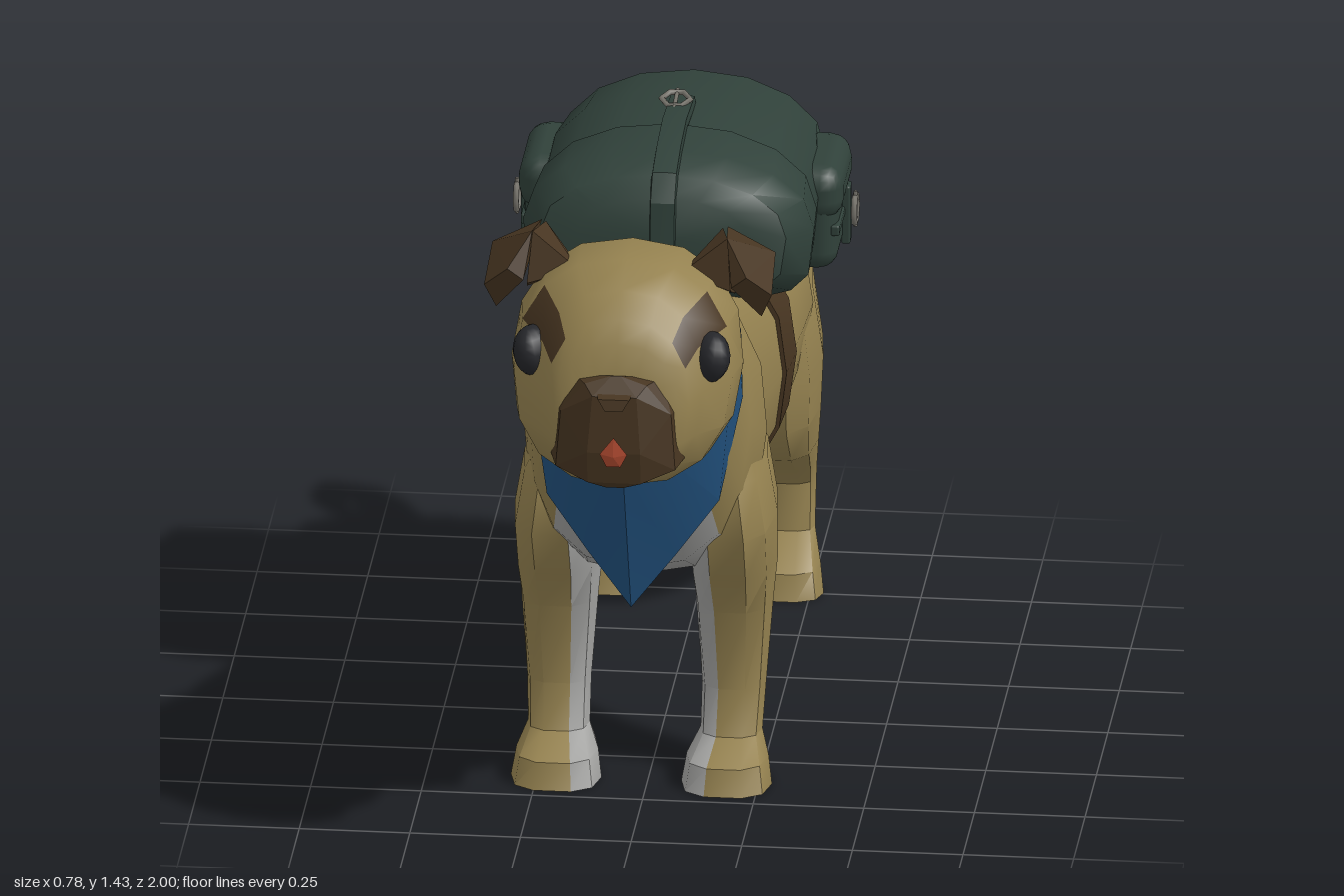
import * as THREE from 'three';
import { toCreasedNormals } from 'three/addons/utils/BufferGeometryUtils.js';
import { RoundedBoxGeometry } from 'three/addons/geometries/RoundedBoxGeometry.js';
import { ConvexGeometry } from 'three/addons/geometries/ConvexGeometry.js';

const material = (name, color, side = THREE.FrontSide) => {
  const m = new THREE.MeshStandardMaterial({ color, side });
  m.name = name;
  return m;
};

// Rounded loop; power below 1 makes it boxier
const soft = (v, power) => Math.sign(v) * Math.abs(v) ** power;

// Loop across the body: top point, bottom point and half width
function spineRing([zt, yt, zb, yb, hw], n = 16, power = 0.85, lowPower = power) {
  return Array.from({ length: n }, (_, j) => {
    const a = (j / n) * Math.PI * 2, p = Math.cos(a) > 0 ? lowPower : power;
    const c = soft(Math.cos(a), p), s = soft(Math.sin(a), p);
    return [hw * s, (yt + yb) / 2 - c * (yt - yb) / 2, (zt + zb) / 2 - c * (zt - zb) / 2];
  });
}

// Level loop around a leg: height, front, back, inner and outer edge
function legRing([y, zf, zb, xi, xo], side, n = 10) {
  return Array.from({ length: n }, (_, j) => {
    const a = ((j + 0.5) / n) * Math.PI * 2;
    return [side * (xi + xo) / 2 - soft(Math.sin(a), 0.75) * (xo - xi) / 2, y,
      (zf + zb) / 2 + soft(Math.cos(a), 0.75) * (zf - zb) / 2];
  });
}

// Skin a row of loops; paint(row, face) picks the material, row -1 and last are caps
function loft(name, rings, mats, paint = () => 0, crease = 0.7) {
  const n = rings[0].length, last = rings.length - 1;
  const pos = rings.flat(2), faces = mats.map(() => []);
  for (let i = 0; i < last; i++) {
    for (let j = 0; j < n; j++) {
      const k = (j + 1) % n, a = i * n, b = a + n;
      faces[paint(i, j)].push(a + j, a + k, b + k, a + j, b + k, b + j);
    }
  }
  [[0, -1], [last, last]].forEach(([r, row], end) => {
    const centre = pos.length / 3;
    for (let c = 0; c < 3; c++) pos.push(rings[r].reduce((t, p) => t + p[c] / n, 0));
    for (let j = 0; j < n; j++) {
      const a = r * n + j, b = r * n + (j + 1) % n;
      faces[paint(row, j)].push(centre, ...(end ? [a, b] : [b, a]));
    }
  });
  const g = new THREE.BufferGeometry();
  g.setAttribute('position', new THREE.Float32BufferAttribute(pos, 3));
  g.setIndex(faces.flat());
  let start = 0;
  faces.forEach((f, m) => { g.addGroup(start, f.length, m); start += f.length; });
  const mesh = new THREE.Mesh(toCreasedNormals(g, crease), mats);
  mesh.name = name;
  return mesh;
}

function hull(name, points, mat) {
  const mesh = new THREE.Mesh(new ConvexGeometry(points.map(p => new THREE.Vector3(...p))), mat);
  mesh.name = name;
  return mesh;
}

const mirrorX = (pts, side) => pts.map(([x, y, z]) => [side * x, y, z]);
const bothSides = pts => [...pts, ...mirrorX(pts, -1)];

export function createModel() {
  const fawn = material('fawn coat', 0x958250), pale = material('pale coat', 0xa2a2a0);
  const brown = material('dark brown', 0x473521), black = material('eye black', 0x25262a);
  const blue = material('blue cloth', 0x22527f, THREE.DoubleSide), red = material('tongue red', 0xb04a30);
  const green = material('pack green', 0x30413a), metal = material('buckle metal', 0x77746c);

  const model = new THREE.Group();
  const dog = new THREE.Group(), pack = new THREE.Group();
  dog.name = 'dog';
  dog.position.x = -0.015;
  pack.name = 'backpack';
  model.add(dog, pack);

  // Trunk, neck and head in one skin, rump to face
  const spine = [
    [-0.87, 0.90, -0.915, 0.60, 0.165], [-0.80, 0.96, -0.78, 0.54, 0.255],
    [-0.65, 1.00, -0.60, 0.52, 0.285], [-0.50, 1.01, -0.50, 0.48, 0.275],
    [-0.37, 1.025, -0.37, 0.46, 0.265], [-0.24, 1.035, -0.25, 0.445, 0.255],
    [0.05, 1.095, 0.08, 0.47, 0.235], [0.20, 1.15, 0.38, 0.50, 0.275],
    [0.29, 1.20, 0.52, 0.57, 0.25], [0.37, 1.25, 0.66, 0.80, 0.21],
    [0.45, 1.335, 0.72, 0.91, 0.22], [0.56, 1.39, 0.80, 0.905, 0.262],
    [0.70, 1.395, 0.86, 0.91, 0.247], [0.81, 1.365, 0.915, 0.93, 0.188],
    [0.865, 1.315, 0.935, 0.94, 0.162], [0.90, 1.27, 0.945, 0.95, 0.14], [0.92, 1.20, 0.955, 0.97, 0.10],
  ];
  dog.add(loft('body', spine.map(s => spineRing(s)), [fawn, pale, brown], (i, j) => {
    const k = Math.min(j, 15 - j);
    const paleReach = [3, 2, 2, 2, 2, 2, 2, 1, 1][i] ?? -1;   // belly and chest
    if (i === -1 || k <= paleReach) return 1;
    return (i === 12 || i === 13) && k === 5 ? 2 : 0;         // eye patches
  }));

  // Girth strap
  dog.add(loft('girthStrap', [4, 5].map(i => {
    const [zt, yt, zb, yb, hw] = spine[i];
    return spineRing([zt, yt + 0.012, zb, yb - 0.008, hw + 0.009]);
  }), [brown]));

  // Muzzle, nose and tongue
  dog.add(hull('muzzle', bothSides([
    [0.10, 1.19, 0.89], [0.01, 1.205, 0.93], [0.07, 1.19, 0.945], [0.05, 1.17, 0.972], [0.145, 1.12, 0.87],
    [0.125, 1.12, 0.94], [0.155, 1.0, 0.88], [0.135, 0.99, 0.95], [0.06, 1.04, 0.988], [0.06, 0.965, 0.98],
    [0.09, 0.96, 0.90], [0.02, 0.95, 0.97],
  ]), brown));
  dog.add(hull('nose', bothSides([[0.04, 1.178, 0.95], [0.036, 1.17, 0.988], [0.02, 1.145, 0.995], [0.01, 1.135, 0.97]]), brown));
  dog.add(hull('tongue', [[0, 1.08, 0.993], ...bothSides([[0.031, 1.04, 0.994], [0.016, 1.01, 0.994]]),
    [0, 1.035, 1.0], [0, 1.03, 0.97]], red));

  // Curled tail, outer and inner edge of the curl
  dog.add(loft('tail', [
    [-0.88, 0.86, -0.80, 0.93, 0.055], [-0.95, 0.92, -0.87, 0.97, 0.05], [-1.0, 1.0, -0.925, 1.02, 0.047],
    [-0.99, 1.095, -0.935, 1.06, 0.043], [-0.92, 1.125, -0.91, 1.08, 0.04], [-0.85, 1.11, -0.865, 1.065, 0.035],
    [-0.81, 1.05, -0.85, 1.04, 0.03], [-0.81, 0.995, -0.84, 0.99, 0.02],
  ].map(s => spineRing(s, 8)), [fawn]));

  // Legs: pale on the inner side, the sole and the back of the lower foreleg
  const frontLeg = [
    [0.92, 0.36, 0.18, 0.08, 0.19], [0.75, 0.465, 0.08, 0.10, 0.275], [0.62, 0.475, 0.07, 0.10, 0.297],
    [0.50, 0.41, 0.09, 0.10, 0.295], [0.40, 0.355, 0.14, 0.11, 0.285], [0.20, 0.32, 0.20, 0.125, 0.27],
    [0.10, 0.36, 0.225, 0.125, 0.265], [0.06, 0.455, 0.25, 0.10, 0.285], [0, 0.475, 0.28, 0.09, 0.295],
  ];
  const hindLeg = [
    [0.90, -0.54, -0.74, 0.08, 0.20], [0.78, -0.48, -0.85, 0.10, 0.28], [0.60, -0.49, -0.91, 0.08, 0.30],
    [0.48, -0.51, -0.885, 0.09, 0.295], [0.38, -0.60, -0.885, 0.12, 0.285], [0.28, -0.78, -0.93, 0.135, 0.27],
    [0.23, -0.83, -0.95, 0.14, 0.265], [0.12, -0.82, -0.90, 0.14, 0.265], [0.06, -0.705, -0.87, 0.11, 0.285],
    [0, -0.69, -0.82, 0.10, 0.295],
  ];
  for (const side of [1, -1]) {
    const label = side > 0 ? 'left' : 'right';
    for (const [name, sections] of [['FrontLeg', frontLeg], ['HindLeg', hindLeg]]) {
      dog.add(loft(label + name, sections.map(s => legRing(s, side)), [fawn, pale], (i, j) => {
        const a = ((j + 1) / 10) * Math.PI * 2;
        const sole = i === sections.length - 1;
        const inner = side * Math.sin(a) > 0.5 && (i >= 2 || Math.cos(a) < 0.5);
        const foreBack = sections === frontLeg && i >= 3 && Math.cos(a) < -0.7;
        return sole || inner || foreBack ? 1 : 0;
      }));
    }

    // Folded ear: upright base and hanging flap
    dog.add(hull(label + 'EarBase', mirrorX([[0.115, 1.34, 0.64], [0.22, 1.425, 0.63], [0.20, 1.41, 0.53],
      [0.235, 1.28, 0.60], [0.14, 1.33, 0.54], [0.23, 1.31, 0.66]], side), brown));
    dog.add(hull(label + 'EarFlap', mirrorX([[0.22, 1.43, 0.64], [0.21, 1.41, 0.52], [0.32, 1.36, 0.54],
      [0.325, 1.31, 0.675], [0.30, 1.25, 0.655], [0.235, 1.33, 0.69], [0.27, 1.36, 0.70], [0.27, 1.325, 0.535]], side), brown));

    const eye = new THREE.Mesh(new THREE.SphereGeometry(0.058, 14, 10), black);
    eye.name = label + 'Eye';
    eye.position.set(side * 0.2, 1.208, 0.803);
    eye.rotation.set(0, side * 0.35, side * -0.2);
    eye.scale.x = 0.75;
    dog.add(eye);
  }

  // Neckerchief: upper hem, lower hem and turned-in edge, from the front fold round to the nape
  const hems = [
    [[0, 0.89, 0.775], [0.10, 0.925, 0.735], [0.22, 0.985, 0.60], [0.235, 1.08, 0.50],
      [0.20, 1.19, 0.41], [0.11, 1.25, 0.375], [0, 1.262, 0.365]],
    [[0, 0.51, 0.605], [0.10, 0.635, 0.585], [0.195, 0.76, 0.56], [0.237, 0.97, 0.455],
      [0.225, 1.10, 0.375], [0.13, 1.205, 0.325], [0, 1.228, 0.31]],
    [[0, 0.505, 0.525], [0.10, 0.625, 0.53], [0.19, 0.75, 0.53], [0.225, 0.97, 0.455],
      [0.20, 1.09, 0.375], [0.12, 1.19, 0.325], [0, 1.21, 0.31]],
  ];
  const scarf = new THREE.Group();
  scarf.name = 'neckerchief';
  for (const side of [1, -1]) {
    const n = hems[0].length, index = [];
    for (let r = 0; r < 2; r++) {
      for (let i = r * n; i < r * n + n - 1; i++) {
        const [a, b, c, d] = side > 0 ? [i, i + n, i + n + 1, i + 1] : [i, i + 1, i + n + 1, i + n];
        index.push(a, b, c, a, c, d);
      }
    }
    const g = new THREE.BufferGeometry();
    g.setAttribute('position', new THREE.Float32BufferAttribute(mirrorX(hems.flat(), side).flat(), 3));
    g.setIndex(index);
    const half = new THREE.Mesh(toCreasedNormals(g, 0.6), blue);
    half.name = side > 0 ? 'leftScarfHalf' : 'rightScarfHalf';
    scarf.add(half);
  }
  dog.add(scarf);

  // Backpack bag, rounded above and square below, with a flap over its front end
  const bag = [
    [-0.65, 1.25, -0.64, 1.0, 0.26], [-0.635, 1.31, -0.61, 0.935, 0.30], [-0.45, 1.335, -0.45, 0.94, 0.318],
    [-0.20, 1.35, -0.25, 0.955, 0.312], [-0.08, 1.335, -0.07, 0.99, 0.322], [0.01, 1.31, 0.07, 1.06, 0.27],
    [0.05, 1.27, 0.075, 1.09, 0.19],
  ];
  pack.add(loft('bag', bag.map(s => spineRing(s, 16, 0.95, 0.5)), [green]));
  pack.add(loft('bagFlap', bag.slice(3).map(([zt, yt, zb, yb, hw]) =>
    spineRing([zt, yt + 0.007, zb + 0.005, yb, hw + 0.007], 16, 0.95, 0.5)), [green]));

  // Strap over the top
  pack.add(loft('topStrap', [[-0.38, 1.345], [-0.2, 1.362], [-0.08, 1.348], [0.02, 1.32], [0.065, 1.27], [0.085, 1.12]]
    .map(([z, y], i) => spineRing(i < 4 ? [z, y + 0.008, z, y - 0.03, 0.03] : [z, y, z - 0.03, y - 0.01, 0.03], 8, 0.3)),
  [green], undefined, 0.4));

  // Hexagonal buckle with a pin, facing +z before turning
  const buckle = name => {
    const g = new THREE.Group();
    g.name = name;
    const pin = new THREE.Mesh(new THREE.CylinderGeometry(0.005, 0.005, 0.085, 5), metal);
    pin.name = 'pin';
    const frame = new THREE.Mesh(new THREE.TorusGeometry(0.033, 0.007, 5, 6), metal);
    frame.name = 'frame';
    g.add(frame, pin);
    return g;
  };
  const topBuckle = buckle('topBuckle');
  topBuckle.position.set(-0.01, 1.363, -0.33);
  topBuckle.rotation.x = -Math.PI / 2 + 0.15;
  pack.add(topBuckle);

  // Side pockets with lid, strap and buckle
  for (const side of [1, -1]) {
    const pocket = new THREE.Group();
    pocket.name = side > 0 ? 'leftPocket' : 'rightPocket';
    const box = (name, w, h, d, r, x, y, z) => {
      const mesh = new THREE.Mesh(new RoundedBoxGeometry(w, h, d, 2, r), green);
      mesh.name = name;
      mesh.position.set(side * x, y, z);
      pocket.add(mesh);
    };
    box('pouch', 0.12, 0.24, 0.26, 0.045, 0.295, 1.08, -0.44);
    box('lid', 0.13, 0.13, 0.275, 0.05, 0.302, 1.145, -0.44);
    box('strap', 0.02, 0.14, 0.04, 0.005, 0.362, 1.05, -0.46);
    box('crossStrap', 0.02, 0.025, 0.24, 0.005, 0.35, 1.06, -0.44);
    const b = buckle('pocketBuckle');
    b.position.set(side * 0.382, 1.06, -0.46);
    b.rotation.y = side * Math.PI / 2;
    pocket.add(b);
    pack.add(pocket);
  }
  return model;
}
